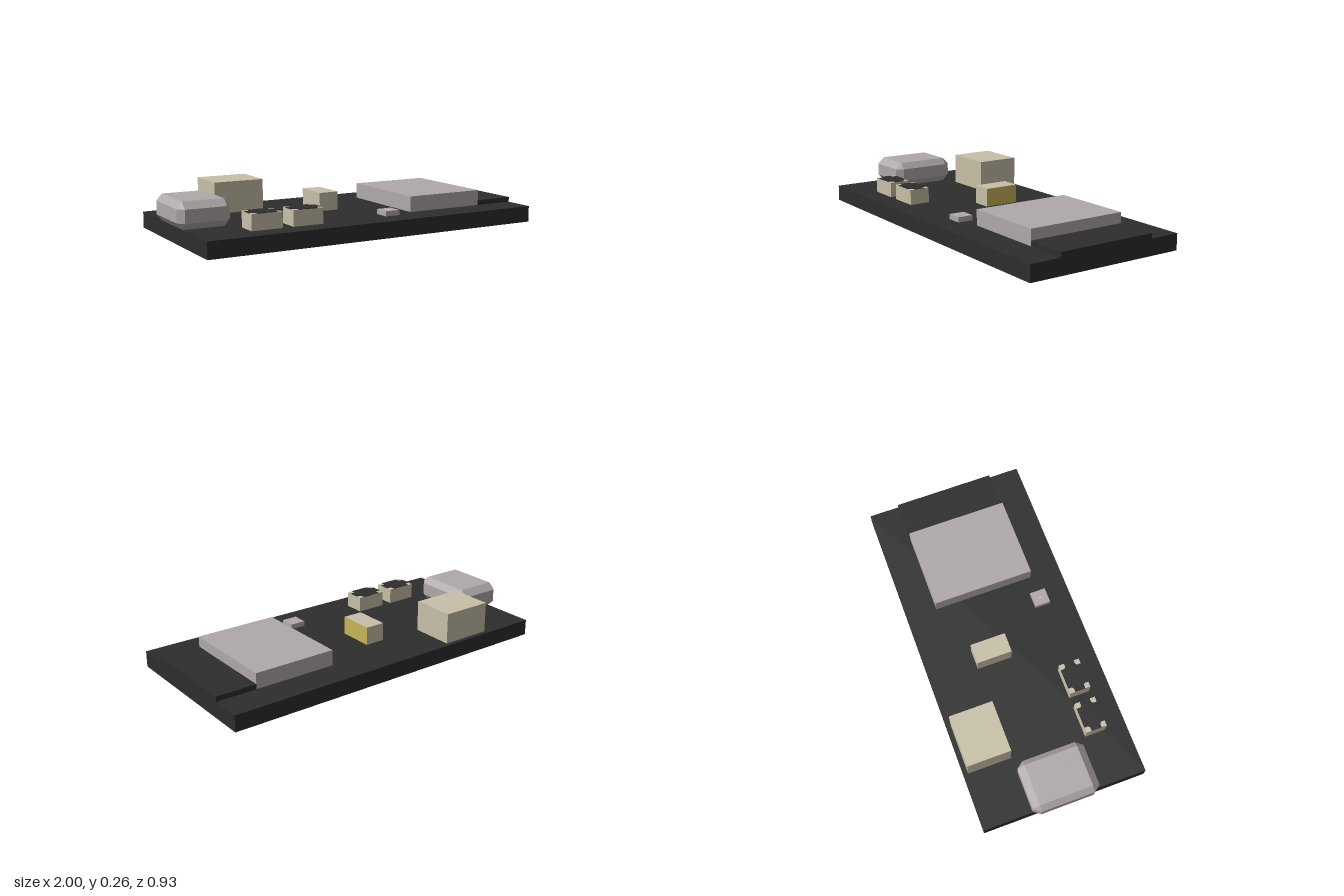
import * as THREE from 'three';
import { ConvexGeometry } from 'three/addons/geometries/ConvexGeometry.js';

const mat = (name, color) => Object.assign(new THREE.MeshStandardMaterial({ color }), { name });

export function createModel() {
  const black = mat('board black', 0x2d2d2d);
  const metal = mat('metal grey', 0xb0a9a9);
  const beige = mat('beige', 0xc8c0a8);
  const yellow = mat('yellow', 0xc9b458);
  const group = new THREE.Group();

  const add = (name, geometry, material) => {
    const mesh = new THREE.Mesh(geometry, material);
    mesh.name = name;
    group.add(mesh);
    return mesh;
  };
  // Box given by its extents on each axis
  const box = (name, material, [x0, x1], [y0, y1], [z0, z1]) => {
    const mesh = add(name, new THREE.BoxGeometry(x1 - x0, y1 - y0, z1 - z0), material);
    mesh.position.set((x0 + x1) / 2, (y0 + y1) / 2, (z0 + z1) / 2);
    return mesh;
  };

  const top = 0.09;

  // Circuit board
  box('circuitBoard', black, [-0.97, 1], [0, top], [-0.463, 0.463]);

  // Wireless module: antenna strip and shield can
  box('antennaBoard', black, [0.77, 1], [top, 0.118], [-0.289, 0.287]);
  box('shieldCan', metal, [0.303, 0.77], [top, 0.177], [-0.289, 0.287]);

  // Cable socket: box with every edge and corner chamfered
  const hx = 0.143, hy = 0.072, hz = 0.187;
  const ix = hx - 0.03, iy = hy - 0.036, iz = hz - 0.039;
  const points = [];
  for (const sx of [-1, 1]) for (const sy of [-1, 1]) for (const sz of [-1, 1]) {
    for (const [x, y, z] of [[hx, iy, iz], [ix, hy, iz], [ix, iy, hz]]) {
      points.push(new THREE.Vector3(x * sx, y * sy, z * sz));
    }
  }
  add('cableSocket', new ConvexGeometry(points), metal).position.set(-0.857, 0.162, -0.003);

  // Battery connector
  box('batteryConnector', beige, [-0.655, -0.367], [top, 0.263], [-0.438, -0.192]);

  // Indicator block with a yellow face on its left side
  const indicator = box('indicatorBlock', beige, [-0.117, -0.004], [top, 0.192], [-0.188, 0.013]);
  indicator.material = [yellow, beige, beige, beige, beige, beige];

  // Two push buttons with a black cross-shaped cover between the corner posts
  for (const x of [-0.599, -0.366]) {
    const z = 0.287, w = 0.086, d = 0.059, c = 0.03;
    box('pushButton', beige, [x - w, x + w], [top, 0.176], [z - d, z + d]);
    const cross = new THREE.Shape([
      [w - c, d], [w - c, d - c * 0.7], [w - c * 0.7, d - c], [w, d - c],
      [w, c - d], [w - c * 0.7, c - d], [w - c, c * 0.7 - d], [w - c, -d],
      [c - w, -d], [c - w, c * 0.7 - d], [c * 0.7 - w, c - d], [-w, c - d],
      [-w, d - c], [c * 0.7 - w, d - c], [c - w, d - c * 0.7], [c - w, d],
    ].map(([px, py]) => new THREE.Vector2(px, py)));
    const cover = add('buttonCover',
      new THREE.ExtrudeGeometry(cross, { depth: 0.003, bevelEnabled: false }), black);
    cover.rotation.x = -Math.PI / 2;
    cover.position.set(x, 0.175, z);
  }

  // Small sensor with a port dot
  box('sensor', metal, [0.112, 0.199], [top, 0.118], [0.245, 0.333]);
  add('sensorPort', new THREE.CylinderGeometry(0.009, 0.009, 0.003, 8), beige)
    .position.set(0.156, 0.118, 0.289);

  return group;
}
